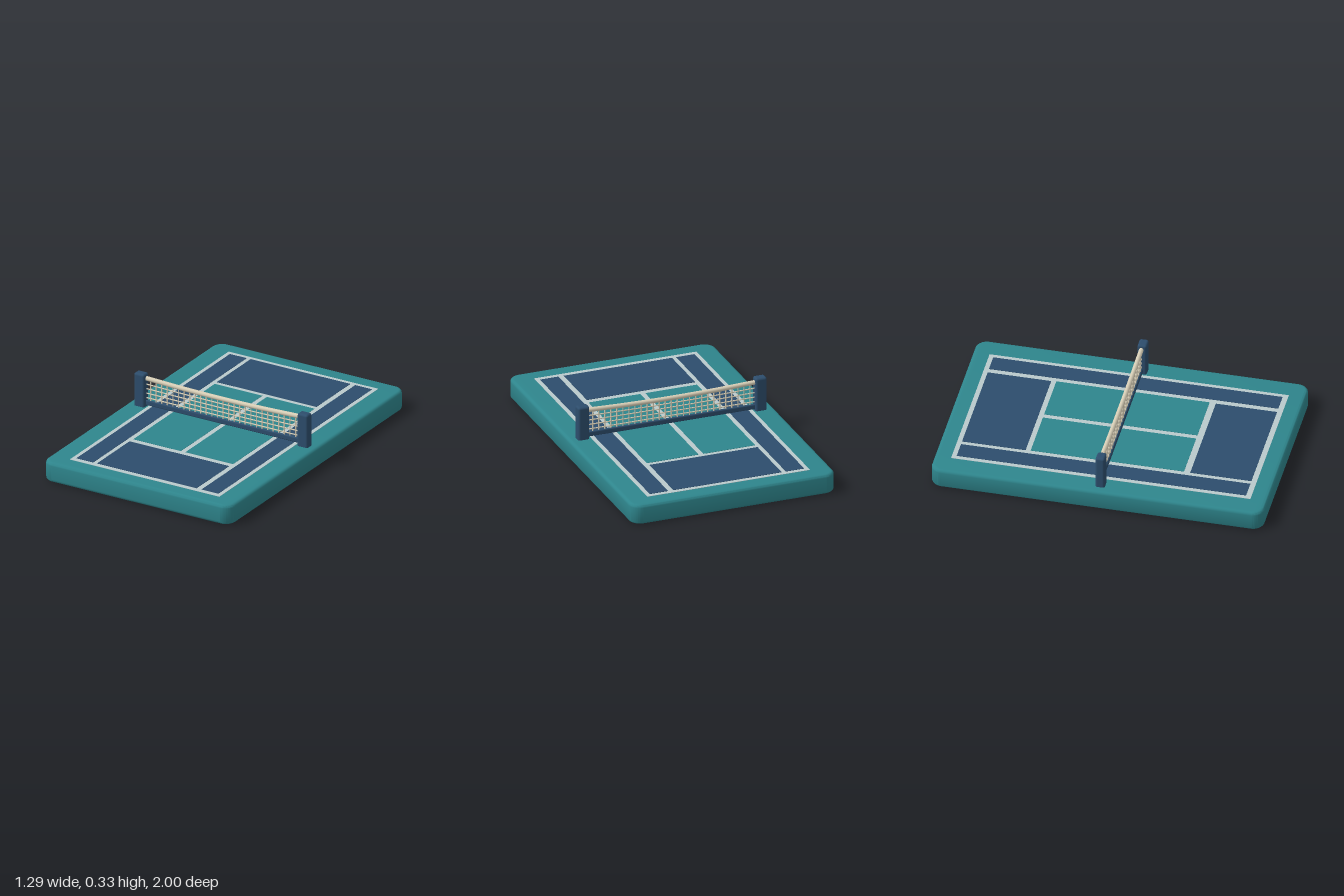
import * as THREE from 'three';
import { toCreasedNormals } from 'three/addons/utils/BufferGeometryUtils.js';
import { RoundedBoxGeometry } from 'three/addons/geometries/RoundedBoxGeometry.js';

const material = (name, color) => {
  const m = new THREE.MeshStandardMaterial({ color });
  m.name = name;
  return m;
};

export function createModel() {
  const teal = material('teal', 0x2e858c);
  const navy = material('navy', 0x2d4d6c);
  const paleLine = material('pale line', 0xb9c9cb);
  const cream = material('cream', 0xd9d0b8);

  const model = new THREE.Group();
  model.name = 'tennisCourt';
  const add = (name, geometry, mat, parent = model) => {
    const mesh = new THREE.Mesh(geometry, mat);
    mesh.name = name;
    parent.add(mesh);
    return mesh;
  };

  // Slab with rounded corners and softened rims
  const bevel = 0.02, hx = 0.645 - bevel, hz = 1 - bevel, r = 0.05, slabTop = 0.125;
  const outline = new THREE.Shape();
  outline.absarc(hx - r, hz - r, r, 0, Math.PI / 2);
  outline.absarc(-hx + r, hz - r, r, Math.PI / 2, Math.PI);
  outline.absarc(-hx + r, -hz + r, r, Math.PI, Math.PI * 1.5);
  outline.absarc(hx - r, -hz + r, r, Math.PI * 1.5, Math.PI * 2);
  const slab = new THREE.ExtrudeGeometry(outline, {
    depth: slabTop - 2 * bevel, bevelThickness: bevel, bevelSize: bevel, bevelSegments: 4, curveSegments: 8,
  });
  slab.rotateX(-Math.PI / 2).translate(0, bevel, 0);
  add('slab', toCreasedNormals(slab, 0.6), teal);

  // Court markings: a pale sheet whose uncovered strips are the lines
  const court = new THREE.Group();
  court.name = 'courtSurface';
  model.add(court);
  const plate = (name, x0, x1, z0, z1, top, mat) => {
    const mesh = add(name, new THREE.BoxGeometry(x1 - x0, 0.003, z1 - z0), mat, court);
    mesh.position.set((x0 + x1) / 2, top - 0.0015, (z0 + z1) / 2);
  };
  plate('lines', -0.513, 0.513, -0.9, 0.9, slabTop + 0.0015, paleLine);
  const top = slabTop + 0.003;
  plate('backCourtFar', -0.345, 0.338, -0.872, -0.49, top, navy);
  plate('backCourtNear', -0.345, 0.338, 0.5, 0.868, top, navy);
  for (const s of [-1, 1]) {
    const xs = [s * 0.372, s * 0.487].sort((a, b) => a - b);
    plate(s > 0 ? 'leftAlley' : 'rightAlley', xs[0], xs[1], -0.872, 0.868, top, navy);
    const bx = [s * 0.016, s * 0.342].sort((a, b) => a - b);
    plate(s > 0 ? 'leftServiceBoxes' : 'rightServiceBoxes', bx[0], bx[1], -0.46, 0.462, top, teal);
  }

  // Net posts
  const netZ = 0.01, netHalf = 0.535;
  for (const s of [-1, 1]) {
    const post = add(s > 0 ? 'leftPost' : 'rightPost', new RoundedBoxGeometry(0.072, 0.225, 0.056, 3, 0.014), navy);
    post.position.set(s * 0.56, 0.2215, 0.013);
  }

  // Net with a gently sagging top tape
  const net = new THREE.Group();
  net.name = 'net';
  net.position.z = netZ;
  model.add(net);
  const sag = (x) => 0.012 * (1 - (x / netHalf) ** 2);
  const strand = (name, y, radius, sagShare, mat) => {
    const points = [-1, -0.5, 0, 0.5, 1].map((t) =>
      new THREE.Vector3(t * netHalf, y - sag(t * netHalf) * sagShare, 0));
    return add(name, new THREE.TubeGeometry(new THREE.CatmullRomCurve3(points), 24, radius, 8), mat, net);
  };
  strand('topTape', 0.303, 0.0145, 1, cream);
  const band = add('bottomBand', new RoundedBoxGeometry(2 * netHalf, 0.032, 0.018, 2, 0.007), navy, net);
  band.position.y = 0.148;
  for (let i = 0; i < 4; i++) strand('horizontalCord', 0.178 + i * 0.029, 0.004, i / 5, cream);
  for (let i = 1; i < 28; i++) {
    const x = -netHalf + (i / 28) * 2 * netHalf, high = 0.3 - sag(x), low = 0.15;
    const cord = add('verticalCord', new THREE.CylinderGeometry(0.004, 0.004, high - low, 6), cream, net);
    cord.position.set(x, (high + low) / 2, 0);
  }

  return model;
}
